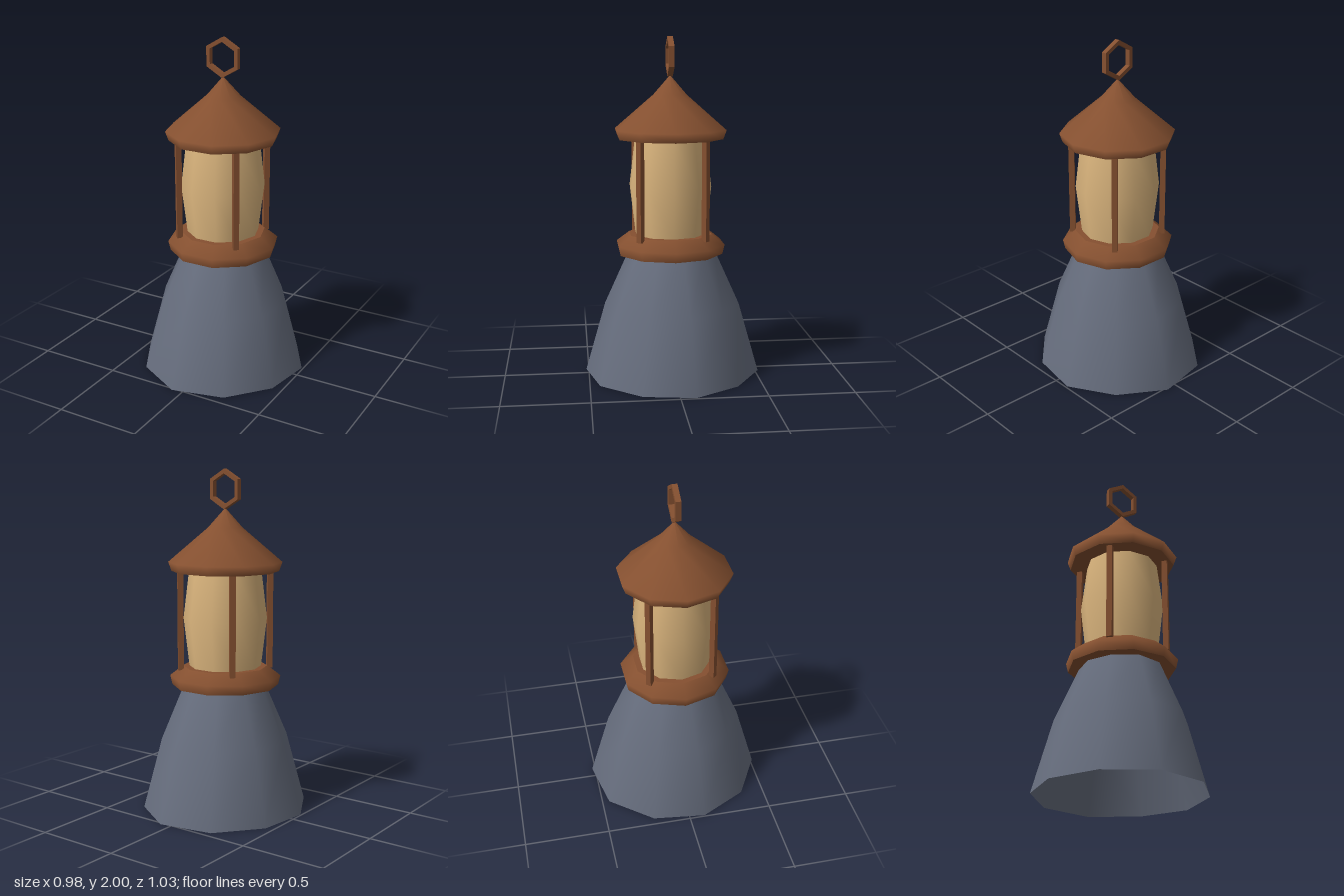
import * as THREE from 'three';

const stone = new THREE.MeshStandardMaterial({ color: 0x666d7d, side: THREE.DoubleSide });
stone.name = 'slate grey';
const wood = new THREE.MeshStandardMaterial({ color: 0x855030 });
wood.name = 'rust brown';
const glow = new THREE.MeshStandardMaterial({ color: 0xdcb67e });
glow.name = 'warm glass';

const SIDES = 10;
const CX = -0.005, CZ = 0.008; // shared axis of the lantern parts

function add(parent, name, geometry, material) {
  const mesh = new THREE.Mesh(geometry, material);
  mesh.name = name;
  parent.add(mesh);
  return mesh;
}

// Ten-sided turned part with optional flat discs closing its ends
function turned(parent, name, profile, material, capBottom, capTop) {
  const part = new THREE.Group();
  part.name = name;
  part.position.set(CX, 0, CZ);
  const points = profile.map(([r, y]) => new THREE.Vector2(r, y));
  add(part, name + 'Side', new THREE.LatheGeometry(points, SIDES, Math.PI / 2), material);
  const cap = ([r, y], turn, label) => {
    const disc = new THREE.CircleGeometry(r, SIDES).rotateX(turn).translate(0, y, 0);
    add(part, name + label, disc, material);
  };
  if (capBottom) cap(profile[0], Math.PI / 2, 'Underside');
  if (capTop) cap(profile[profile.length - 1], -Math.PI / 2, 'Top');
  parent.add(part);
}

// Hollow, slightly irregular flared skirt, open underneath
function skirtGeometry() {
  const radii = [0.498, 0.488, 0.503, 0.519, 0.502, 0.501, 0.502, 0.522, 0.523, 0.485];
  const levels = [[0, 1], [0.42, 0.77], [0.75, 0.485]];
  const positions = [], indices = [];
  levels.forEach(([y, scale], k) => {
    for (let i = 0; i < SIDES; i++) {
      const a = (i * 36 - 10.6) * Math.PI / 180;
      positions.push(Math.cos(a) * radii[i] * scale, y, Math.sin(a) * radii[i] * scale);
      if (k === levels.length - 1) continue;
      const p = k * SIDES + i, q = k * SIDES + (i + 1) % SIDES;
      indices.push(p, p + SIDES, q, q, p + SIDES, q + SIDES);
    }
  });
  const geometry = new THREE.BufferGeometry();
  geometry.setAttribute('position', new THREE.Float32BufferAttribute(positions, 3));
  geometry.setIndex(indices);
  geometry.computeVertexNormals();
  return geometry;
}

function hexagon(path, r) {
  const points = [];
  for (let i = 0; i < 6; i++) {
    const a = Math.PI / 2 + i * Math.PI / 3;
    points.push(new THREE.Vector2(Math.cos(a) * r, Math.sin(a) * r));
  }
  return path.setFromPoints(points);
}

export function createModel() {
  const model = new THREE.Group();
  model.name = 'lantern';

  add(model, 'skirt', skirtGeometry(), stone);

  // Collar, glass and roof
  turned(model, 'collar', [[0.315, 0.735], [0.328, 0.79], [0.25, 0.85]], wood, true, true);
  turned(model, 'glass', [[0.212, 0.845], [0.246, 1.135], [0.212, 1.415]], glow, false, false);
  turned(model, 'roof', [[0.315, 1.412], [0.334, 1.465], [0.1, 1.665], [0, 1.778]], wood, true, false);

  // Four square posts, set cornerwise
  for (const sx of [-1, 1]) {
    for (const sz of [-1, 1]) {
      const post = add(model, 'post', new THREE.BoxGeometry(0.033, 0.6, 0.033), wood);
      post.rotation.y = Math.PI / 4;
      post.position.set(CX + sx * 0.188, 1.13, CZ + 0.002 + sz * 0.188);
    }
  }

  // Six-sided hanging ring
  const outline = hexagon(new THREE.Shape(), 0.115);
  outline.holes.push(hexagon(new THREE.Path(), 0.089));
  const ringGeometry = new THREE.ExtrudeGeometry(outline, { depth: 0.032, bevelEnabled: false });
  const ring = add(model, 'hangingRing', ringGeometry, wood);
  ring.position.set(CX, 1.885, CZ - 0.016);

  return model;
}
